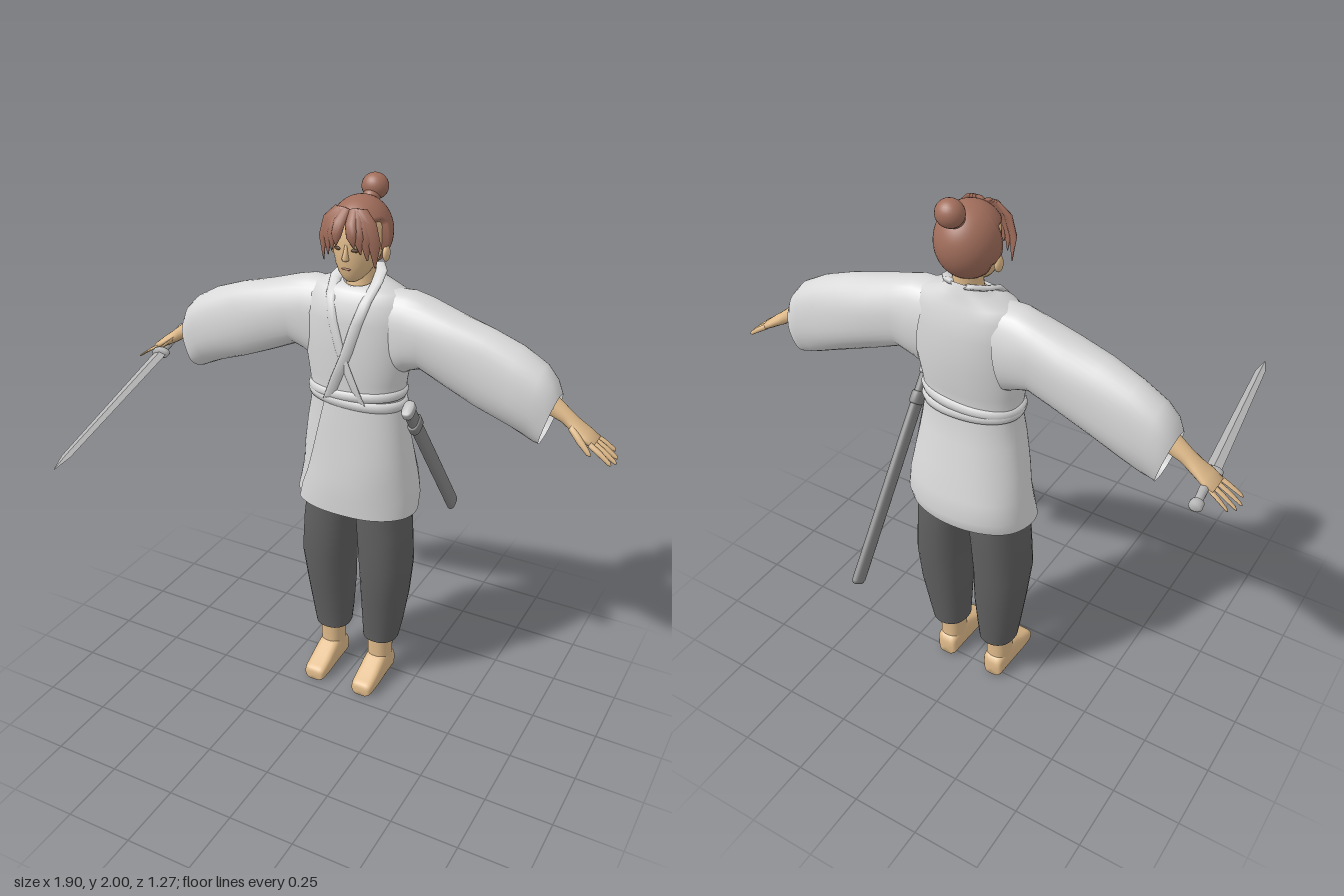
import * as THREE from 'three';

const mat = (name, color, side = THREE.FrontSide) => {
  const m = new THREE.MeshStandardMaterial({ color, side });
  m.name = name;
  return m;
};

// Skin over a row of rings. Each ring: centre c, half axes u and v.
// o: n sides, e squareness, cap, ripple, from/to angle per ring for open panels, flat facets
function loft(rings, o = {}) {
  const { n = 28, e = 1, cap = false, ripple = 0, arc = null, flat = false } = o;
  const pos = [], idx = [], cols = arc ? n + 1 : n;
  const pw = (t) => Math.sign(t) * Math.pow(Math.abs(t), e);
  rings.forEach(({ c, u, v }, i) => {
    const [a0, a1] = arc ? arc(i / (rings.length - 1)) : [0, Math.PI * 2];
    for (let j = 0; j < cols; j++) {
      const a = a0 + (a1 - a0) * j / n;
      const r = 1 + ripple * (Math.sin(3 * a + i * 1.7) + Math.sin(7 * a - i * 0.9) * 0.6);
      const p = pw(Math.cos(a)) * r, q = pw(Math.sin(a)) * r;
      for (let k = 0; k < 3; k++) pos.push(c[k] + u[k] * p + v[k] * q);
    }
  });
  for (let i = 0; i < rings.length - 1; i++) {
    for (let j = 0; j < n; j++) {
      const a = i * cols + j, b = i * cols + (j + 1) % cols;
      idx.push(a, a + cols, b, b, a + cols, b + cols);
    }
  }
  if (cap) {
    const last = (rings.length - 1) * cols, s = pos.length / 3;
    pos.push(...rings[0].c, ...rings[rings.length - 1].c);
    for (let j = 0; j < n; j++) {
      const k = (j + 1) % cols;
      idx.push(s, j, k, s + 1, last + k, last + j);
    }
  }
  // Turn the faces outward
  const P = (i) => new THREE.Vector3().fromArray(pos, i * 3).sub(mid);
  const mid = new THREE.Vector3();
  rings.forEach((r) => mid.add(new THREE.Vector3(...r.c).divideScalar(rings.length)));
  let vol = 0;
  for (let i = 0; i < idx.length; i += 3) vol += P(idx[i]).dot(P(idx[i + 1]).cross(P(idx[i + 2])));
  if (vol < 0) idx.reverse();
  let g = new THREE.BufferGeometry();
  g.setAttribute('position', new THREE.Float32BufferAttribute(pos, 3));
  g.setIndex(idx);
  if (flat) g = g.toNonIndexed();
  g.computeVertexNormals();
  return g;
}

// Level ring: height, centre x, half width, centre z, half depth, forward tilt
const level = ([y, x, rx, z, rz, tilt = 0]) => ({ c: [x, y, z], u: [rx, 0, 0], v: [0, -tilt, rz] });

// Round limb along points [x, y, z, radius]
const limb = (pts, n = 10) => loft(pts.map(([x, y, z, r]) =>
  ({ c: [x, y, z], u: [r * 0.45, r * 0.9, 0], v: [0, 0, r] })), { n, cap: true });

export function createModel() {
  const model = new THREE.Group();
  const cloth = mat('tunic cloth', 0xd8d8d8, THREE.DoubleSide);
  const dark = mat('trouser cloth', 0x606060, THREE.DoubleSide);
  const skin = mat('skin', 0xdfba8a);
  const hair = mat('hair', 0xa06d5b);
  const metal = mat('steel', 0xb8b8b8);
  const sheath = mat('scabbard grey', 0x868686);
  const brown = mat('eye brown', 0x5e4534);

  const add = (name, geo, m, parent = model) => {
    const mesh = new THREE.Mesh(geo, m);
    mesh.name = name;
    parent.add(mesh);
    return mesh;
  };
  const ball = (name, m, p, s) => {
    const b = add(name, new THREE.SphereGeometry(1, 24, 16), m);
    b.position.set(...p);
    b.scale.set(...s);
    return b;
  };

  // Tunic body and skirt
  const skirt = [
    [0.81, -0.008, 0.234, -0.225, 0.152], [0.86, -0.005, 0.232, -0.233, 0.16], [0.93, 0, 0.222, -0.226, 0.152],
    [1.02, 0, 0.21, -0.217, 0.138], [1.13, 0, 0.192, -0.205, 0.12], [1.24, 0, 0.174, -0.2, 0.106]];
  const chest = [
    [1.32, 0, 0.184, -0.2, 0.113], [1.42, 0, 0.2, -0.205, 0.122], [1.54, 0, 0.2, -0.205, 0.12],
    [1.605, 0, 0.19, -0.208, 0.106], [1.64, 0, 0.165, -0.212, 0.086], [1.662, 0, 0.095, -0.215, 0.074, 0.008],
    [1.68, 0, 0.062, -0.215, 0.06, 0.028]];
  add('tunic', loft([...skirt, ...chest].map(level), { n: 56, e: 0.9, ripple: 0.008 }), cloth);

  // Front panel lapped over the skirt
  const panel = skirt.map(([y, x, rx, z, rz], i) => level([i ? y : 0.79, x, rx * 1.025, z, rz * 1.04]));
  add('skirtOverlap', loft(panel, { n: 32, e: 0.9, ripple: 0.006, arc: (t) => [-0.15, 2.5 - 0.5 * t] }), cloth);

  // Crossed collar bands
  const band = (s, lift) => loft([
    [0.035, 1.705, -0.275], [0.066, 1.69, -0.235], [0.078, 1.668, -0.175], [0.066, 1.615, -0.117],
    [0.045, 1.54, -0.09], [0.012, 1.43, -0.083], [-0.025, 1.34, -0.086], [-0.06, 1.25, -0.096],
  ].map(([x, y, z]) => ({ c: [s * x, y, z + lift], u: [s * 0.022, 0.006, -0.004], v: [0, 0.006, 0.009] })),
  { n: 10, cap: true });
  add('collarRight', band(-1, 0), cloth);
  add('collarLeft', band(1, 0.005), cloth);

  // Belt wound twice around the waist
  [[1.268, 0.01], [1.24, -0.008]].forEach(([y, tilt], i) => {
    const rows = [[-0.021, 0.95], [-0.016, 1.05], [0, 1.08], [0.016, 1.05], [0.021, 0.95]];
    add('belt' + (i + 1), loft(rows.map(([dy, k]) =>
      ({ c: [0, y + dy, -0.2], u: [0.174 * k, tilt, 0], v: [0, 0, 0.11 * k] })), { n: 48, e: 0.9 }), cloth);
  });

  for (const s of [1, -1]) {
    const side = s > 0 ? 'Left' : 'Right';

    // Wide sleeve: top x, y, bottom x, y, half depth
    const sleeve = [
      [0.12, 1.648, 0.16, 1.34, 0.095], [0.19, 1.647, 0.2, 1.365, 0.098], [0.26, 1.63, 0.245, 1.38, 0.096],
      [0.36, 1.6, 0.35, 1.335, 0.096], [0.48, 1.566, 0.46, 1.287, 0.09], [0.59, 1.525, 0.57, 1.245, 0.087],
      [0.675, 1.48, 0.635, 1.218, 0.08], [0.715, 1.435, 0.662, 1.207, 0.075], [0.735, 1.385, 0.682, 1.2, 0.068],
    ].map(([tx, ty, bx, by, d]) => ({
      c: [s * (tx + bx) / 2, (ty + by) / 2, -0.213], u: [s * (tx - bx) / 2, (ty - by) / 2, 0], v: [0, 0, d] }));
    add('sleeve' + side, loft(sleeve, { n: 36, e: 0.9, ripple: 0.016 }), cloth);

    // Forearm and palm: x, y, half thickness, half width
    const arm = [[0.58, 1.42, 0.042, 0.042], [0.7, 1.352, 0.036, 0.036], [0.76, 1.318, 0.025, 0.029],
      [0.795, 1.293, 0.022, 0.034], [0.835, 1.268, 0.018, 0.044], [0.868, 1.246, 0.014, 0.043]];
    add('arm' + side, loft(arm.map(([x, y, h, w]) =>
      ({ c: [s * x, y, -0.21], u: [s * h * 0.5, h * 0.87, 0], v: [0, 0, w] })), { n: 20, cap: true }), skin);

    // Fingers and thumb
    [0.068, 0.085, 0.09, 0.08].forEach((len, k) => {
      const z = -0.245 + k * 0.0235, out = (k - 1.5) * 0.008;
      add('finger' + side + (k + 1), limb([[0, 0.01], [0.5, 0.0095], [0.92, 0.007], [1, 0.003]].map(([t, r]) =>
        [s * (0.857 + len * t), 1.252 - len * t * (0.55 + 0.1 * t), z + out * t, r])), skin);
    });
    add('thumb' + side, limb([[s * 0.785, 1.295, -0.188, 0.014], [s * 0.825, 1.262, -0.166, 0.013],
      [s * 0.86, 1.23, -0.155, 0.009], [s * 0.87, 1.222, -0.154, 0.003]]), skin);

    // Trouser leg
    const leg = [[0.19, 0.105, 0.069, -0.223, 0.074], [0.26, 0.109, 0.078, -0.224, 0.082],
      [0.4, 0.116, 0.091, -0.223, 0.102], [0.55, 0.122, 0.1, -0.217, 0.117], [0.7, 0.112, 0.1, -0.218, 0.12],
      [0.8, 0.103, 0.1, -0.22, 0.12], [0.95, 0.095, 0.095, -0.215, 0.11]];
    add('trouserLeg' + side, loft(leg.map(([y, x, ...r]) => level([y, s * x, ...r])), { e: 0.9, ripple: 0.008 }), dark);

    // Ankle and foot
    add('ankle' + side, loft([[0.05, 0.105, 0.043, -0.215, 0.054], [0.12, 0.105, 0.045, -0.215, 0.05],
      [0.2, 0.105, 0.047, -0.215, 0.053], [0.3, 0.108, 0.055, -0.215, 0.06]]
      .map(([y, x, ...r]) => level([y, s * x, ...r])), { e: 0.8 }), skin);
    const foot = [[-0.277, 0.03, 0.06], [-0.268, 0.041, 0.09], [-0.2, 0.045, 0.125], [-0.155, 0.046, 0.105],
      [-0.105, 0.046, 0.077], [-0.06, 0.044, 0.058], [-0.045, 0.04, 0.05], [-0.039, 0.03, 0.036]];
    add('foot' + side, loft(foot.map(([z, w, h]) =>
      ({ c: [s * 0.105, h / 2, z], u: [w, 0, 0], v: [0, h / 2, 0] })), { e: 0.55, cap: true }), skin);

    // Ear, eye and swept fringe
    ball('ear' + side, skin, [s * 0.098, 1.768, -0.2], [0.012, 0.028, 0.019]);
    ball('eye' + side, brown, [s * 0.034, 1.795, -0.1], [0.015, 0.006, 0.004]).rotation.y = s * 0.35;
    [0.05, 0.35, 0.65, 1].forEach((k, i) => {
      const pts = [[0.012 + 0.03 * k, 1.925, -0.125, 0.016], [0.018 + 0.058 * k, 1.885, -0.088 - 0.025 * k, 0.021],
        [0.024 + 0.072 * k, 1.845 - 0.025 * k, -0.078 - 0.035 * k, 0.018],
        [0.03 + 0.066 * k, 1.812 - 0.07 * k, -0.086 - 0.035 * k, 0.003]];
      add('fringe' + side + (i + 1), loft(pts.map(([x, y, z, w]) =>
        ({ c: [s * x, y, z], u: [s * w, w * 0.2, -w * 0.5 * k], v: [0, 0.003, w * 0.5] })), { n: 10, cap: true }), hair);
    });
  }

  // Neck and head
  add('neck', loft([[1.6, 0, 0.06, -0.21, 0.06], [1.66, 0, 0.05, -0.217, 0.052], [1.72, 0, 0.046, -0.222, 0.05],
    [1.78, 0, 0.05, -0.222, 0.05]].map(level)), skin);
  add('head', loft([[1.676, 0, 0.018, -0.142, 0.018], [1.685, 0, 0.034, -0.15, 0.035], [1.705, 0, 0.052, -0.162, 0.058],
    [1.735, 0, 0.07, -0.178, 0.08], [1.77, 0, 0.081, -0.187, 0.092], [1.81, 0, 0.087, -0.192, 0.096],
    [1.86, 0, 0.087, -0.197, 0.098], [1.9, 0, 0.07, -0.2, 0.08], [1.92, 0, 0.03, -0.2, 0.04]].map(level), { cap: true }), skin);
  add('nose', loft([[1.758, 0, 0.011, -0.096, 0.014], [1.766, 0, 0.012, -0.094, 0.015],
    [1.785, 0, 0.008, -0.096, 0.009], [1.81, 0, 0.005, -0.1, 0.006]].map(level), { n: 12, cap: true }), skin);
  ball('mouth', hair, [0, 1.727, -0.1], [0.018, 0.004, 0.004]);

  // Hair cap, tucked in around the face
  const capGeo = new THREE.SphereGeometry(1, 48, 36), cp = capGeo.attributes.position;
  for (let i = 0; i < cp.count; i++) {
    const x = cp.getX(i), y = cp.getY(i), z = cp.getZ(i);
    const k = (z > 0.2 && y < 0.5) || (y < -0.45 && z > -0.15) ? 0.68 : 1;
    cp.setXYZ(i, x * 0.108 * k, y * 0.122 * k + 1.828, z * 0.118 * k - 0.206);
  }
  capGeo.computeVertexNormals();
  add('hairCap', capGeo, hair);
  ball('bunBase', hair, [0, 1.925, -0.28], [0.03, 0.03, 0.03]);
  ball('topBun', hair, [0, 1.955, -0.307], [0.047, 0.045, 0.043]);

  // Group whose +y runs from point a towards b, with x kept level
  const along = (name, a, b) => {
    const g = new THREE.Group(), A = new THREE.Vector3(...a);
    const d = new THREE.Vector3(...b).sub(A).normalize();
    const x = new THREE.Vector3().crossVectors(d, new THREE.Vector3(0, 1, 0)).normalize();
    g.quaternion.setFromRotationMatrix(new THREE.Matrix4().makeBasis(x, d, new THREE.Vector3().crossVectors(x, d)));
    g.position.copy(A);
    g.name = name;
    model.add(g);
    return g;
  };
  const rod = (rows, o) => loft(rows.map(([y, w, t]) => level([y, 0, w, 0, t])), { cap: true, ...o });

  // Sword in the right hand
  const sword = along('sword', [-0.858, 1.265, -0.355], [-0.704, 1.145, 0.635]);
  add('blade', rod([[0.21, 0.025, 0.009], [0.5, 0.022, 0.008], [0.93, 0.017, 0.006], [1.008, 0.002, 0.001]],
    { n: 4, flat: true }), metal, sword);
  add('grip', rod([[0.02, 0.013, 0.013], [0.11, 0.015, 0.015], [0.2, 0.013, 0.013]], { n: 16 }), metal, sword);
  add('pommel', rod([[0, 0.014, 0.012], [0.005, 0.022, 0.019], [0.025, 0.022, 0.019], [0.032, 0.013, 0.012]], { n: 16 }), metal, sword);
  add('guard', rod([[0.195, 0.024, 0.015], [0.2, 0.034, 0.02], [0.216, 0.034, 0.02], [0.221, 0.024, 0.015]], { n: 20 }), metal, sword);

  // Scabbard hanging at the left hip
  const scabbard = along('scabbard', [0.224, 1.255, -0.135], [0.224, 0.615, -0.618]);
  add('scabbardBody', rod([[0.02, 0.015, 0.028], [0.4, 0.016, 0.03], [0.79, 0.016, 0.031], [0.802, 0.011, 0.025]], { n: 24, e: 0.75 }), sheath, scabbard);
  add('scabbardMouth', rod([[0, 0.018, 0.028], [0.006, 0.021, 0.033], [0.03, 0.021, 0.033], [0.036, 0.017, 0.03]], { n: 24, e: 0.75 }), metal, scabbard);
  add('scabbardCollar', rod([[0.1, 0.017, 0.03], [0.105, 0.021, 0.035], [0.14, 0.021, 0.035], [0.145, 0.017, 0.03]], { n: 24, e: 0.75 }), sheath, scabbard);

  return model;
}
